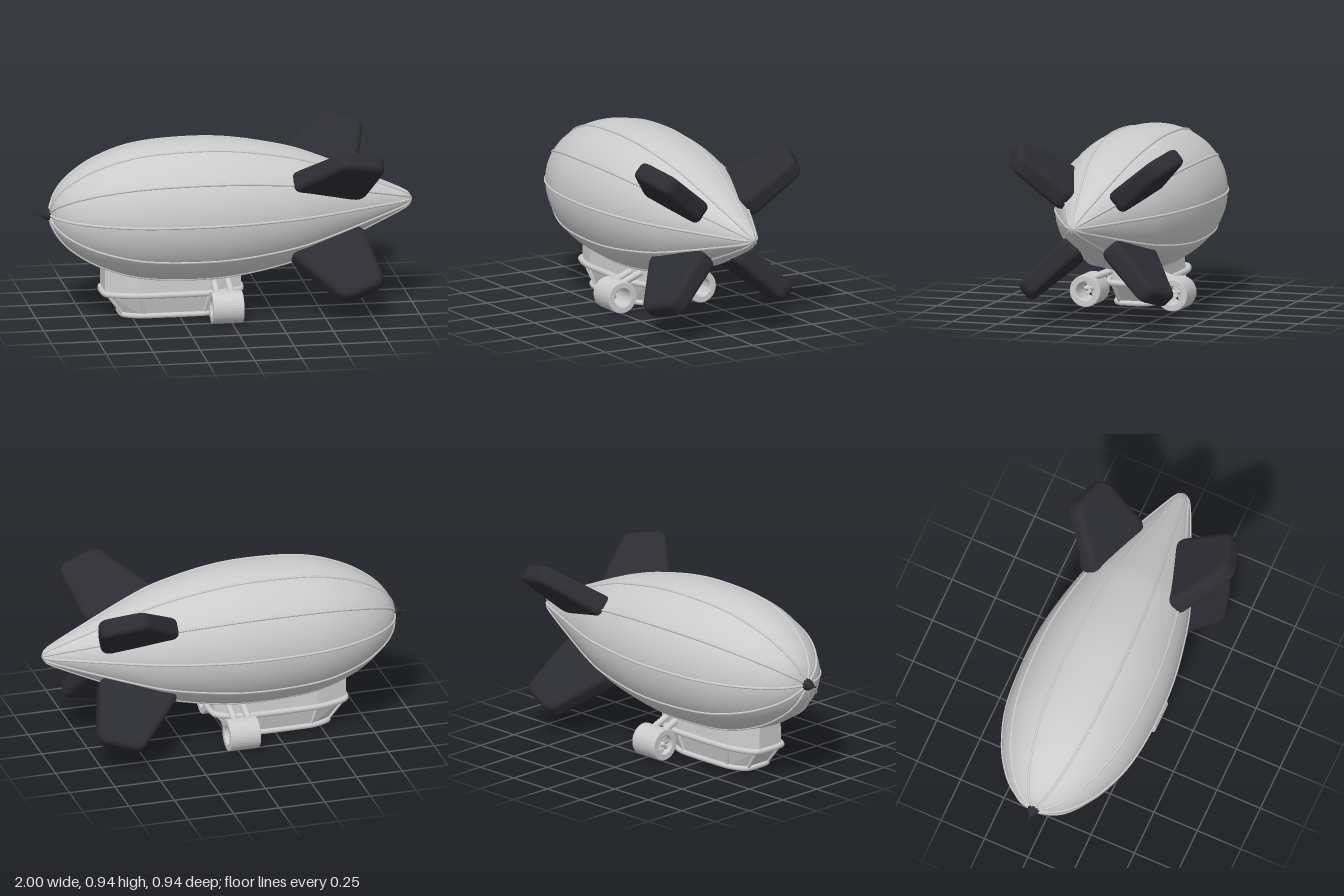
import * as THREE from 'three';
import { ConvexGeometry } from 'three/addons/geometries/ConvexGeometry.js';

const grey = new THREE.MeshStandardMaterial({ color: 0xcccccc });
const flatGrey = new THREE.MeshStandardMaterial({ color: 0xcccccc, flatShading: true });
const dark = new THREE.MeshStandardMaterial({ color: 0x2c2c33 });
const V = (x, y, z) => new THREE.Vector3(x, y, z);
const AXIS_Y = 0.565, WIDEN = 1.03;

function add(parent, name, geometry, material = grey) {
  const mesh = new THREE.Mesh(geometry, material);
  mesh.name = name;
  parent.add(mesh);
  return mesh;
}

// Straight rod between two points
function rod(parent, name, a, b, r, material = grey) {
  return add(parent, name, new THREE.TubeGeometry(new THREE.LineCurve3(a, b), 1, r, 12), material);
}

// Solid of revolution around the x axis from [x, radius] pairs
function turned(pairs, segments = 48) {
  const g = new THREE.LatheGeometry(pairs.map(([x, r]) => new THREE.Vector2(r, x)), segments);
  return g.rotateZ(-Math.PI / 2);
}

// Hull half-profile, nose to tail
const hullCurve = new THREE.SplineCurve([
  [-0.93, 0], [-0.922, 0.045], [-0.893, 0.115], [-0.82, 0.197], [-0.68, 0.285], [-0.47, 0.353], [-0.2, 0.374],
  [0.05, 0.362], [0.33, 0.308], [0.5, 0.25], [0.7, 0.164], [0.87, 0.088], [0.95, 0.05], [0.985, 0.026], [0.995, 0],
].map(([x, r]) => new THREE.Vector2(x, r)));

function addHull(root) {
  const pts = hullCurve.getPoints(80).map(p => [p.x, Math.max(0, p.y)]);
  const g = turned(pts, 64);
  g.scale(1, 1, WIDEN).translate(0, AXIS_Y, 0);
  add(root, 'hull', g);

  // Seam ribs from nose to tail
  for (const deg of [0, 34, 68, 112, 146, 180, 214, 248, 292, 326]) {
    const a = THREE.MathUtils.degToRad(deg);
    const path = hullCurve.getPoints(40).slice(1, -1)
      .map(p => V(p.x, AXIS_Y + p.y * Math.sin(a), p.y * WIDEN * Math.cos(a)));
    add(root, 'seamRib', new THREE.TubeGeometry(new THREE.CatmullRomCurve3(path), 70, 0.007, 8));
  }

  // Nose cap with mooring spike, and tail button
  add(root, 'noseCap', turned([[-0.972, 0], [-0.968, 0.014], [-0.95, 0.026], [-0.925, 0.033], [-0.91, 0.03], [-0.91, 0]], 20), dark)
    .position.y = AXIS_Y;
  rod(root, 'noseSpike', V(-1, AXIS_Y, 0), V(-0.96, AXIS_Y, 0), 0.005, dark);
  add(root, 'tailButton', turned([[0.97, 0.011], [0.996, 0.011], [1, 0.007], [1, 0]], 16)).position.y = AXIS_Y;
}

// Rounded polygon outline, inset to leave room for the bevel
function roundedShape(corners, radius) {
  const shape = new THREE.Shape();
  const n = corners.length;
  corners.forEach((c, i) => {
    const toward = q => c.clone().add(q.clone().sub(c).setLength(radius));
    const p = toward(corners[(i + n - 1) % n]), q = toward(corners[(i + 1) % n]);
    if (i) shape.lineTo(p.x, p.y); else shape.moveTo(p.x, p.y);
    shape.quadraticCurveTo(c.x, c.y, q.x, q.y);
  });
  shape.closePath();
  return shape;
}

function addFins(root) {
  const bevel = 0.035, depth = 0.056;
  const corners = [[0.352, 0.305], [0.692, 0.19], [0.762, 0.487], [0.583, 0.555]]
    .map(([x, s]) => new THREE.Vector2(x, s));
  const g = new THREE.ExtrudeGeometry(roundedShape(corners, 0.03), {
    depth, bevelEnabled: true, bevelSize: bevel, bevelThickness: bevel, bevelSegments: 4, curveSegments: 6,
  });
  g.translate(0, 0, -depth / 2);
  // Thin the fin towards its tip
  const pos = g.attributes.position;
  for (let i = 0; i < pos.count; i++) {
    pos.setZ(i, pos.getZ(i) * THREE.MathUtils.mapLinear(pos.getY(i), 0.17, 0.58, 1, 0.78));
  }
  // Angle of each fin away from vertical, turning towards +z, and its sideways offset
  for (const [deg, z] of [[50.5, 0], [135, -0.018], [-135, 0.02], [-50.5, 0]]) {
    const fin = add(root, 'tailFin', g, dark);
    fin.position.set(0, 0.55, z);
    fin.rotation.x = THREE.MathUtils.degToRad(deg);
  }
}

// Chamfered rectangle around the cabin centre
function cabinRing(hx, hz, y) {
  const cx = hx * 0.3 + 0.08, cz = hz * 0.6;
  return [[hx, -cz], [hx, cz], [cx, hz], [-cx, hz], [-hx, cz], [-hx, -cz], [-cx, -hz], [cx, -hz]]
    .map(([x, z]) => V(x - 0.285, y, z));
}

function trim(parent, name, points, r) {
  const curve = new THREE.CatmullRomCurve3(points, true, 'catmullrom', 0.3);
  add(parent, name, new THREE.TubeGeometry(curve, 96, r, 10, true));
}

function addGondola(parent) {
  const gondola = new THREE.Group();
  gondola.name = 'gondola';
  parent.add(gondola);
  add(gondola, 'neck', new ConvexGeometry([...cabinRing(0.362, 0.138, 0.13), ...cabinRing(0.362, 0.126, 0.3)]), flatGrey);
  const top = cabinRing(0.35, 0.143, 0.138), bottom = cabinRing(0.262, 0.115, 0.022);
  add(gondola, 'cabin', new ConvexGeometry([...top, ...bottom]), flatGrey);
  trim(gondola, 'upperTrim', cabinRing(0.355, 0.15, 0.141), 0.016);
  trim(gondola, 'lowerTrim', cabinRing(0.266, 0.12, 0.024), 0.014);
  // Window posts at the corners
  top.forEach((p, i) => rod(gondola, 'windowPost', p, bottom[i], 0.009));
}

function addEngine(parent, side) {
  const engine = new THREE.Group();
  engine.name = side > 0 ? 'leftEngine' : 'rightEngine';
  engine.position.set(-0.026, 0.087, side * 0.24);
  parent.add(engine);
  // Open duct
  const ring = new THREE.Shape().absarc(0, 0, 0.08, 0, Math.PI * 2);
  ring.holes.push(new THREE.Path().absarc(0, 0, 0.054, 0, Math.PI * 2, true));
  const duct = new THREE.ExtrudeGeometry(ring, {
    depth: 0.155, bevelEnabled: true, bevelSize: 0.005, bevelThickness: 0.005, bevelSegments: 2, curveSegments: 18,
  });
  add(engine, 'duct', duct.translate(0, 0, -0.0775).rotateY(Math.PI / 2));
  // Fan near the nose end
  const hub = new THREE.SphereGeometry(0.015, 16, 12).scale(1.4, 1, 1);
  add(engine, 'fanHub', hub).position.x = -0.055;
  for (let i = 0; i < 8; i++) {
    const blade = new THREE.SphereGeometry(1, 12, 8).scale(0.004, 0.019, 0.013);
    blade.rotateY(0.5).translate(0, 0.031, 0).rotateX(i * Math.PI / 4);
    add(engine, 'fanBlade', blade).position.x = -0.055;
  }
  // Twin struts to the gondola
  for (const x of [-0.072, 0.004]) {
    rod(parent, 'engineStrut', V(x, 0.198, side * 0.1), V(x, 0.148, side * 0.225), 0.018);
  }
}

export function createModel() {
  const root = new THREE.Group();
  root.name = 'airship';
  addHull(root);
  addFins(root);
  // Cabin and engines hang slightly to one side
  const underside = new THREE.Group();
  underside.name = 'underside';
  underside.position.z = 0.007;
  root.add(underside);
  addGondola(underside);
  for (const side of [1, -1]) addEngine(underside, side);
  return root;
}
